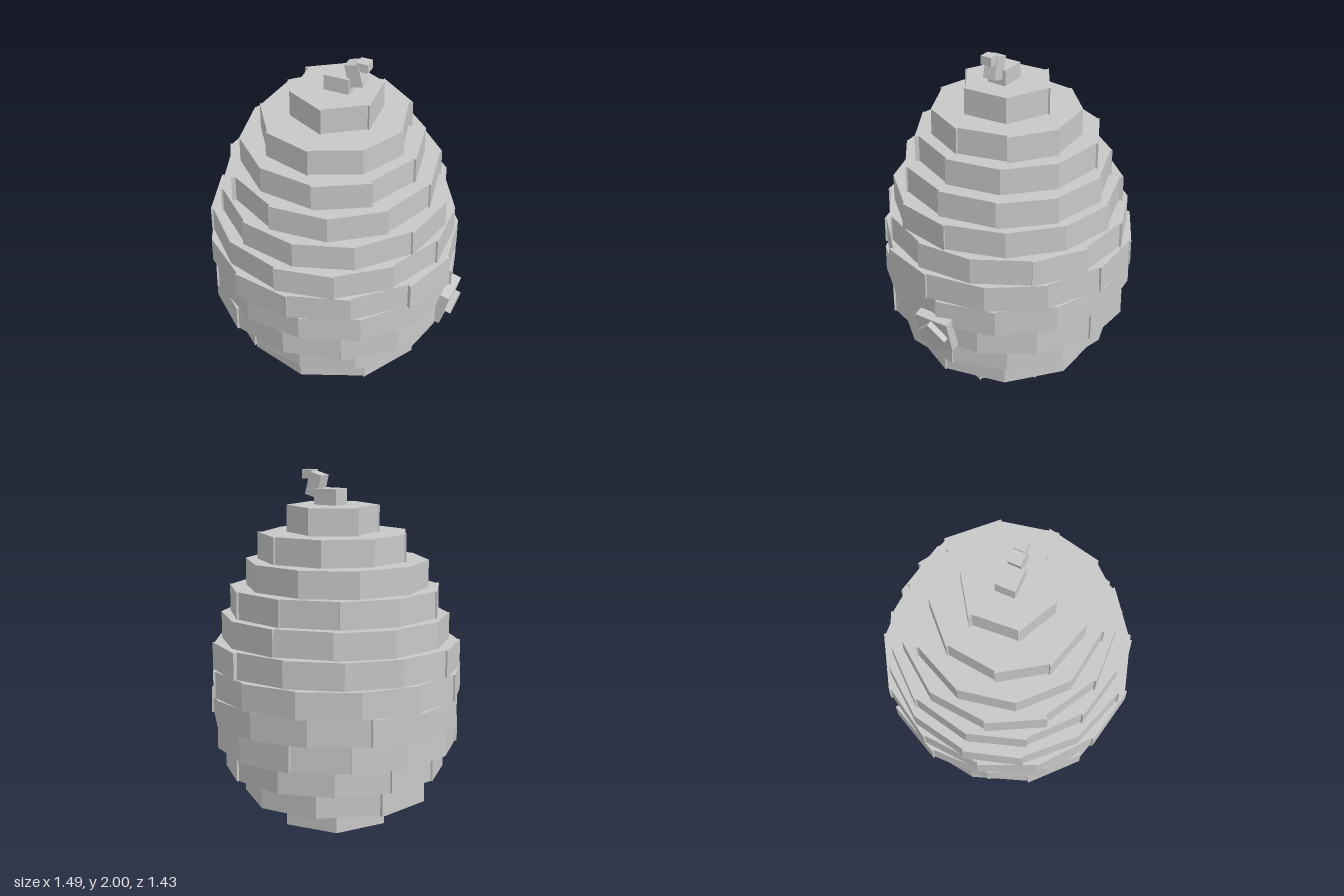
import * as THREE from 'three';

const paper = new THREE.MeshStandardMaterial({ color: 0xc8c8c8 });
paper.name = 'grey paper';

// Layers from the bottom up: [radius, sides, first corner angle in degrees, centre x]
const LAYERS = [
  [0.32, 6, 54, -0.03], [0.525, 9, 88, -0.04], [0.615, 12, 26, -0.03],
  [0.685, 13, 91, -0.04], [0.71, 13, 110, -0.04], [0.715, 13, 87, -0.04],
  [0.69, 13, 94, -0.04], [0.645, 12, 87, -0.035], [0.59, 11, 103, -0.035],
  [0.515, 10, 115, -0.045], [0.42, 9, 86, -0.03], [0.26, 6, 86, -0.02],
];
const STEP = 1.81 / LAYERS.length;

// One ring of flat bricks; some bricks sit a little proud, leaving small steps
function layerGeometry(r, n, phase, index) {
  const points = [];
  for (let i = 0; i < n; i++) {
    const shift = (i * 2 + index) % 5 === 0 ? 0.012 : (i + index) % 4 === 0 ? -0.012 : 0;
    for (const k of [i, i + 1]) {
      const a = THREE.MathUtils.degToRad(phase + (k * 360) / n);
      points.push(new THREE.Vector2((r + shift) * Math.cos(a), -(r + shift) * Math.sin(a)));
    }
  }
  // Drop repeated corners where neighbouring bricks meet flush
  const outline = points.filter((p, i) => p.distanceTo(points[(i + 1) % points.length]) > 1e-4);
  const geo = new THREE.ExtrudeGeometry(new THREE.Shape(outline), { depth: STEP, bevelEnabled: false });
  return geo.rotateX(-Math.PI / 2);
}

function box(name, size, position, parent) {
  const mesh = new THREE.Mesh(new THREE.BoxGeometry(...size), paper);
  mesh.name = name;
  mesh.position.set(...position);
  parent.add(mesh);
  return mesh;
}

export function createModel() {
  const model = new THREE.Group();
  model.name = 'nest';

  // Stacked layers of the egg-shaped body
  const body = new THREE.Group();
  body.name = 'body';
  LAYERS.forEach(([r, n, phase, cx], i) => {
    const mesh = new THREE.Mesh(layerGeometry(r, n, phase, i), paper);
    mesh.name = `layer${i + 1}`;
    mesh.position.set(cx, i * STEP, 0);
    body.add(mesh);
  });
  model.add(body);

  // Crooked stem on top
  const stem = new THREE.Group();
  stem.name = 'stem';
  box('stemBase', [0.145, 0.09, 0.112], [-0.003, 1.855, 0], stem);
  box('stemMiddle', [0.08, 0.13, 0.076], [0.09, 1.918, 0], stem).rotation.z = 0.25;
  box('stemTip', [0.066, 0.05, 0.066], [0.137, 1.975, 0], stem);
  model.add(stem);

  // Entrance on the left side: a square plate carrying a diamond block
  const entrance = new THREE.Group();
  entrance.name = 'entrance';
  entrance.position.set(0.66, 0.555, 0);
  entrance.rotation.z = -0.26;
  box('entrancePlate', [0.055, 0.205, 0.21], [0, 0, 0], entrance);
  box('entranceDiamond', [0.055, 0.134, 0.134], [0.034, 0, 0], entrance).rotation.x = Math.PI / 4;
  model.add(entrance);

  return model;
}
